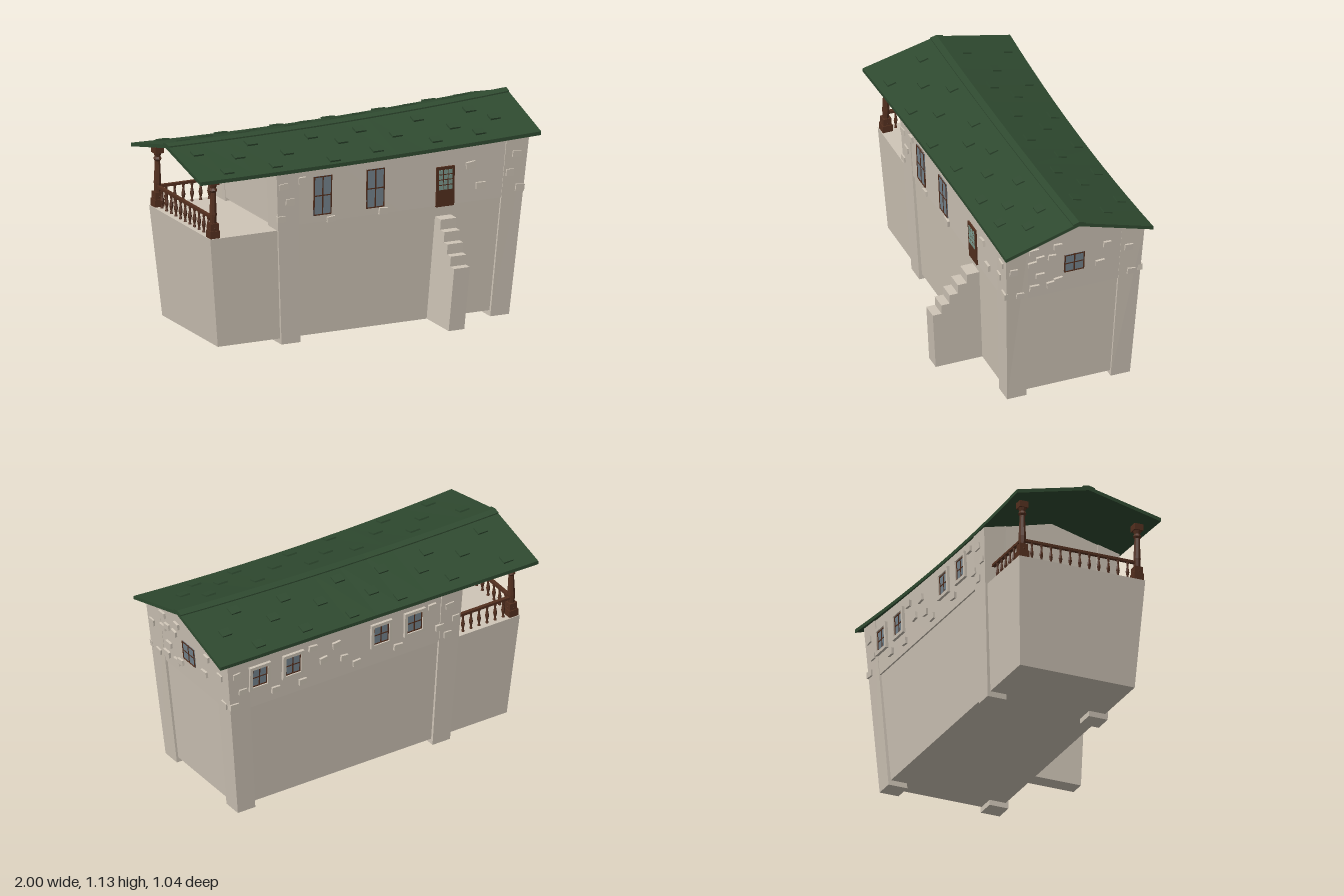
import * as THREE from 'three';

const mat = (name, color) => Object.assign(new THREE.MeshStandardMaterial({ color, flatShading: true }), { name });
const lerp = THREE.MathUtils.lerp;
const ZC = -0.1; // ridge line, the middle of the house in z

// Sagging roof: ridge height, eave height, half width, and top surface at distance d from the ridge
const ridgeY = x => 1.08 + 0.0275 * x + 0.02 * x * x;
const eaveY = x => 0.971 + 0.0135 * x + 0.0165 * x * x;
const halfW = x => 0.398 + 0.022 * x * x;
const roofTop = (x, d) => lerp(ridgeY(x), eaveY(x), d / halfW(x));

// Solid through convex rings, each counter-clockwise seen along the direction of travel
function loft(rings) {
  const n = rings[0].length, pos = rings.flat(2), idx = [];
  for (let r = 0; r < rings.length - 1; r++) {
    for (let i = 0; i < n; i++) {
      const a = r * n + i, b = r * n + (i + 1) % n;
      idx.push(a, b, b + n, a, b + n, a + n);
    }
  }
  const e = (rings.length - 1) * n;
  for (let i = 1; i < n - 1; i++) idx.push(0, i + 1, i, e, e + i, e + i + 1);
  const g = new THREE.BufferGeometry();
  g.setAttribute('position', new THREE.Float32BufferAttribute(pos, 3));
  g.setIndex(idx);
  const flat = g.toNonIndexed();
  flat.computeVertexNormals();
  return flat;
}

// Horizontal rectangle ring; y may be a number or a function of x and distance from the ridge
function rect(x0, x1, d0, d1, y) {
  return [[x1, d1], [x1, d0], [x0, d0], [x0, d1]]
    .map(([x, d]) => [x, typeof y === 'number' ? y : y(x, Math.abs(d)), ZC + d]);
}

export function createModel() {
  const root = new THREE.Group();
  root.name = 'house';
  const plaster = mat('plaster', 0xcfc5b7);
  const roofGreen = mat('roofGreen', 0x2f4a30);
  const wood = mat('wood', 0x54301f);
  const glass = mat('glass', 0x76858f);
  const doorGlass = mat('doorGlass', 0x7d9c90);

  const add = (name, geo, material, parent = root) => {
    const m = new THREE.Mesh(geo, material);
    m.name = name;
    parent.add(m);
    return m;
  };
  const box = (name, w, h, d, x, y, z, material, parent) => {
    const m = add(name, new THREE.BoxGeometry(w, h, d), material, parent);
    m.position.set(x, y, z);
    return m;
  };
  let seed = 7;
  const rand = () => (seed = (seed * 16807) % 2147483647) / 2147483647;

  // Lower storey and terrace base, both flaring upward
  const lowD = y => 0.333 + 0.055 * y;
  const lowX = y => 0.833 + 0.092 * y;
  add('lowerWall', loft([0.03, 0.66].map(y => rect(-0.5, lowX(y), -lowD(y), lowD(y), y))), plaster);
  add('terrace', loft([0.03, 0.635].map(y =>
    rect(-0.857 - 0.1 * (y - 0.03), -0.46, -lowD(y), lowD(y), y))), plaster);

  // Upper storey with gables following the sagging roof
  const upD = y => 0.378 + 0.04 * (y - 0.66);
  const upX = y => 0.905 + 0.1 * (y - 0.66);
  const station = t => {
    const p = (y, z) => [lerp(-0.522 - 0.04 * (y - 0.66), upX(y), t), y, ZC + z];
    const x = lerp(-0.53, 0.93, t), eave = roofTop(x, 0.389) - 0.012;
    return [p(ridgeY(x) - 0.012, 0), p(eave, 0.389), p(0.655, 0.378), p(0.655, -0.378), p(eave, -0.389)];
  };
  add('upperWall', loft([0, 0.25, 0.5, 0.75, 1].map(station)), plaster);

  // Tapered corner pillars
  const under = (x, d) => roofTop(x, d) - 0.012;
  for (const [a0, b0, a1, b1] of [[0.735, 0.845, 0.81, 0.943], [-0.49, -0.38, -0.542, -0.41]]) {
    for (const s of [1, -1]) {
      const span = (inner, outer) => (s > 0 ? [inner, outer] : [-outer, -inner]);
      add('cornerPillar', loft([
        rect(a0, b0, ...span(0.24, 0.35), 0),
        rect(a1, b1, ...span(0.268, 0.396), under),
      ]), plaster);
    }
  }

  // Roof slab and ridge cap, swept along x
  const roofStrip = (width, lift, thick) => loft(Array.from({ length: 13 }, (_, i) => {
    const x = -1 + i / 6, h = Math.min(width, halfW(x));
    const top = ridgeY(x) + lift, edge = roofTop(x, h) + lift;
    return [[x, top, ZC], [x, edge, ZC + h], [x, edge - thick, ZC + h],
      [x, top - thick, ZC], [x, edge - thick, ZC - h], [x, edge, ZC - h]];
  }));
  add('roof', roofStrip(1, 0, 0.02), roofGreen);
  add('ridgeCap', roofStrip(0.035, 0.007, 0.012), roofGreen);

  // Scattered raised shingles on both slopes
  for (const s of [1, -1]) {
    [0.11, 0.22, 0.335].forEach((d, row) => {
      for (let i = 0; i < 6; i++) {
        const x = -0.84 + i * 0.31 + (row % 2) * 0.14 + (rand() - 0.5) * 0.08;
        const dd = d + (rand() - 0.5) * 0.05;
        if (x > 0.93) continue;
        const m = box('shingle', 0.06, 0.014, 0.05, x, roofTop(x, dd) + 0.002, ZC + s * dd, roofGreen);
        m.rotation.x = s * Math.atan((ridgeY(x) - eaveY(x)) / halfW(x));
      }
    });
  }

  // Wall faces: local x runs along the wall, local z points outward
  const face = (name, turn, dist, slope) => {
    const g = new THREE.Group();
    g.name = name;
    g.position.z = ZC;
    g.rotation.y = turn;
    root.add(g);
    return (label, u, v) => {
      const m = new THREE.Group();
      m.name = label;
      m.position.set(u, v, dist(v));
      m.rotation.x = Math.atan(slope);
      g.add(m);
      return m;
    };
  };
  const front = face('frontFace', 0, upD, 0.04);
  const back = face('backFace', Math.PI, upD, 0.04);
  const gable = face('gableFace', Math.PI / 2, upX, 0.1);

  // Rectangular border of four bars
  const border = (g, name, w, h, t, depth, material) => {
    for (const s of [-1, 1]) {
      box(name, t, h, depth, s * (w - t) / 2, 0, 0, material, g);
      box(name, w - 2 * t, t, depth, 0, s * (h - t) / 2, 0, material, g);
    }
  };
  const windowAt = (mount, u, v, w, h, trim) => {
    const g = mount('window', u, v);
    box('pane', w, h, 0.006, 0, 0, 0.001, glass, g);
    border(g, 'windowFrame', w, h, 0.006, 0.014, wood);
    box('mullion', 0.007, h, 0.012, 0, 0, 0, wood, g);
    box('crossbar', w, 0.006, 0.012, 0, 0, 0, wood, g);
    if (trim) border(g, 'windowTrim', w + 0.036, h + 0.036, 0.018, 0.03, plaster);
  };
  for (const u of [-0.267, 0.043]) windowAt(front, u, 0.802, 0.106, 0.216, false);
  for (const x of [0.735, 0.525, -0.03, -0.24]) windowAt(back, -x, 0.84, 0.095, 0.112, true);
  windowAt(gable, 0, 0.837, 0.114, 0.114, false);

  // Front door with a glazed upper half
  const door = front('door', 0.453, 0.76);
  box('doorLeaf', 0.106, 0.22, 0.016, 0, 0, 0, wood, door);
  for (let i = 0; i < 3; i++) {
    for (let j = 0; j < 4; j++) {
      box('doorPane', 0.022, 0.023, 0.004, (i - 1) * 0.028, -0.005 + j * 0.029, 0.008, doorGlass, door);
    }
  }

  // Stones standing slightly proud of the plaster
  const stones = (mount, list) => list.forEach(([u, v]) => {
    const m = box('stone', 0.042 + rand() * 0.012, 0.03 + rand() * 0.008, 0.026, 0, 0, 0, plaster, mount('stoneMount', u, v));
    m.rotation.z = (rand() - 0.5) * 0.25;
  });
  stones(gable, [[-0.236, 0.965], [-0.1, 0.967], [-0.197, 0.908], [-0.24, 0.882], [-0.13, 0.903],
    [-0.348, 0.858], [-0.194, 0.795], [-0.088, 0.74], [-0.127, 0.72], [-0.224, 0.72], [-0.305, 0.692],
    [0.184, 0.91], [0.148, 0.795], [0.308, 0.858], [0.329, 0.692]]);
  stones(front, [[-0.215, 0.665], [0.09, 0.67], [-0.5, 0.88], [-0.46, 0.79], [-0.51, 0.7], [-0.39, 0.9],
    [0.87, 0.89], [0.83, 0.79], [0.89, 0.7], [0.6, 0.86], [0.66, 0.74]]);
  stones(back, [[-0.88, 0.89], [-0.84, 0.78], [-0.89, 0.7], [-0.63, 0.72], [-0.4, 0.9], [-0.33, 0.8],
    [-0.25, 0.87], [-0.2, 0.77], [-0.12, 0.71], [0.14, 0.72], [0.35, 0.9], [0.4, 0.75],
    [0.46, 0.87], [0.5, 0.78], [0.45, 0.69], [-0.46, 0.71]]);

  // Outside stair, leaning with the wall
  const profile = [[0.2, 0.03], [0.5, 0.03], [0.525, 0.375], [0.475, 0.375], [0.478, 0.43], [0.43, 0.43],
    [0.432, 0.485], [0.385, 0.485], [0.387, 0.54], [0.335, 0.54], [0.337, 0.595], [0.2, 0.595]];
  const stair = new THREE.ExtrudeGeometry(new THREE.Shape(profile.map(p => new THREE.Vector2(...p))),
    { depth: 0.092, bevelEnabled: false });
  stair.rotateY(-Math.PI / 2);
  const sp = stair.attributes.position;
  for (let i = 0; i < sp.count; i++) sp.setX(i, sp.getX(i) + 0.459 + 0.06 * sp.getY(i));
  stair.computeVertexNormals();
  add('stair', stair, plaster);

  // Terrace posts
  const lathe = (pts, n) => new THREE.LatheGeometry(pts.map(p => new THREE.Vector2(...p)), n);
  const postGeo = lathe([[0.021, 0.04], [0.025, 0.055], [0.017, 0.07], [0.021, 0.13], [0.015, 0.25],
    [0.023, 0.262], [0.016, 0.275], [0.024, 0.3]], 8);
  const PX = -0.885, backZ = ZC - 0.335, frontZ = ZC + 0.335;
  for (const z of [backZ, frontZ]) {
    add('terracePost', postGeo, wood).position.set(PX, 0.633, z);
    box('postBase', 0.056, 0.042, 0.056, PX, 0.654, z, wood);
    box('postPlinth', 0.046, 0.05, 0.046, PX, 0.69, z, wood);
    box('postCap', 0.05, 0.035, 0.05, PX, 0.945, z, wood);
  }

  // Railings on the end and back of the terrace
  const balusterGeo = lathe([[0.009, 0], [0.005, 0.018], [0.011, 0.045], [0.005, 0.08], [0.009, 0.105]], 6);
  const railing = (x0, z0, x1, z1, count) => {
    box('handrail', Math.abs(x1 - x0) + 0.02, 0.014, Math.abs(z1 - z0) + 0.02, (x0 + x1) / 2, 0.743, (z0 + z1) / 2, wood);
    for (let i = 1; i <= count; i++) {
      const t = i / (count + 1);
      add('baluster', balusterGeo, wood).position.set(lerp(x0, x1, t), 0.634, lerp(z0, z1, t));
    }
  };
  railing(PX, backZ, PX, frontZ, 11);
  railing(PX, backZ, -0.53, backZ, 6);

  return root;
}
